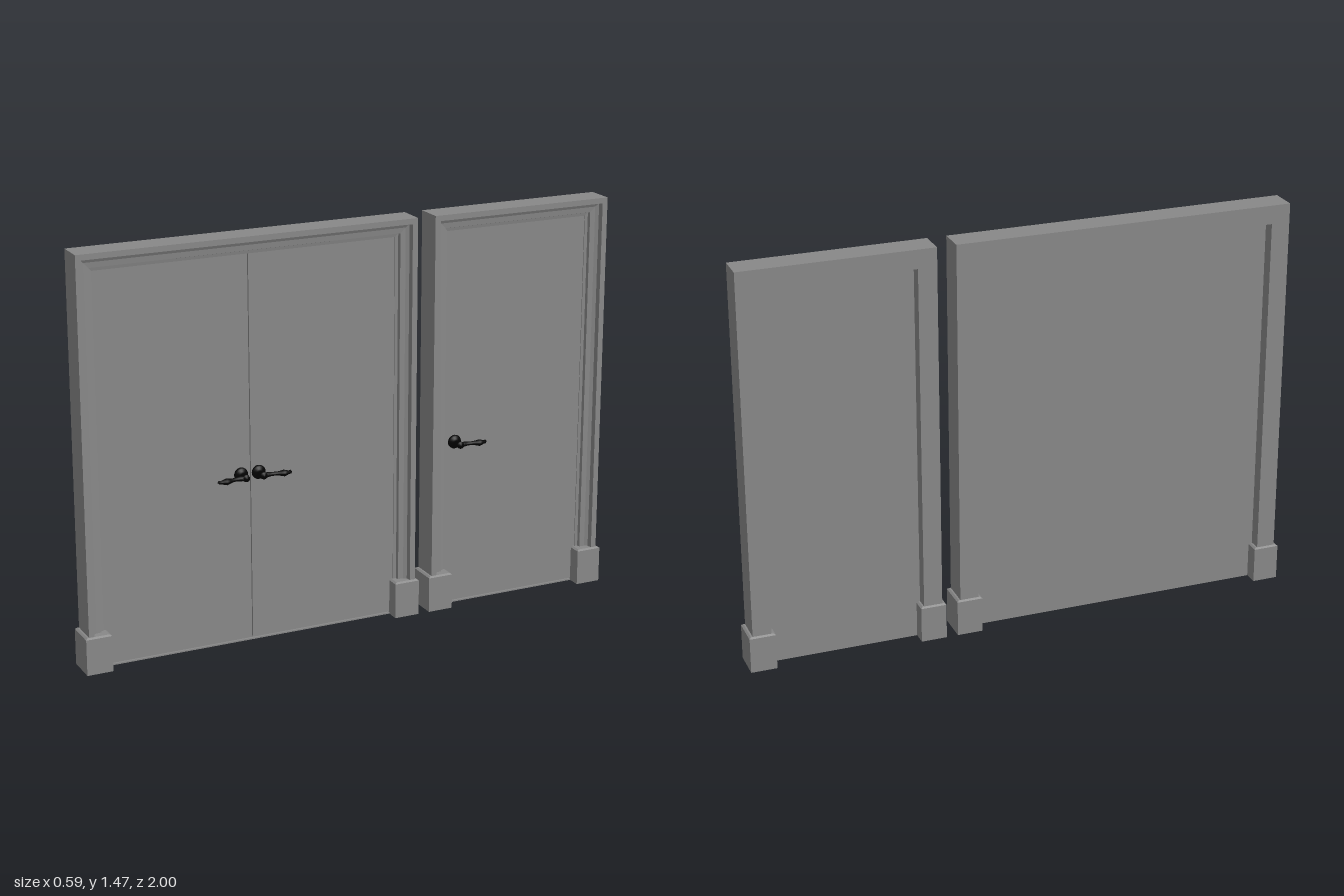
import * as THREE from 'three';

const grey = new THREE.MeshStandardMaterial({ color: 0x888888, flatShading: true });
const black = new THREE.MeshStandardMaterial({ color: 0x030303 });

const HEIGHT = 1.465, HALF_DEPTH = 0.051, CASING = 0.068;
const SIDE_LEDGE = 0.013, FACE_LEDGE = 0.007; // how far plinths stand out from the casing

function add(parent, name, geometry, material, x = 0, y = 0, z = 0) {
  const mesh = new THREE.Mesh(geometry, material);
  mesh.name = name;
  mesh.position.set(x, y, z);
  parent.add(mesh);
}

// Mitred casing: a closed section [inset from outer edge, depth] swept up, across and down
function casingGeometry(halfWidth) {
  const d = HALF_DEPTH;
  const section = [
    [0, -d], [0, d], [0.02, d], [0.023, 0.032], [0.035, 0.026], [0.054, 0.024],
    [0.057, 0.013], [CASING, 0.011], [CASING, 0], [CASING, -d],
  ];
  const rings = [[-1, 0], [-1, 1], [1, 1], [1, 0]].map(([side, top]) =>
    section.map(([v, z]) => [side * (halfWidth - v), top * (HEIGHT - v), z]));
  const positions = [];
  for (let i = 0; i < 3; i++) {
    for (let j = 0; j < section.length; j++) {
      const k = (j + 1) % section.length;
      const a = rings[i][j], b = rings[i][k], c = rings[i + 1][j], e = rings[i + 1][k];
      positions.push(...a, ...b, ...c, ...b, ...e, ...c);
    }
  }
  const geometry = new THREE.BufferGeometry();
  geometry.setAttribute('position', new THREE.Float32BufferAttribute(positions, 3));
  geometry.computeVertexNormals();
  return geometry;
}

// Plinth block with a chamfered top
function plinthGeometry() {
  const width = 0.094, depth = 2 * (HALF_DEPTH + FACE_LEDGE), height = 0.135;
  const geometry = new THREE.BoxGeometry(width, height, depth, 1, 2, 1).toNonIndexed();
  geometry.translate(0, height / 2, 0);
  const p = geometry.attributes.position;
  for (let i = 0; i < p.count; i++) {
    const y = p.getY(i);
    if (y > height * 0.9) {
      p.setX(i, p.getX(i) - Math.sign(p.getX(i)) * FACE_LEDGE);
      p.setZ(i, p.getZ(i) - Math.sign(p.getZ(i)) * FACE_LEDGE);
    } else if (y > height * 0.1) p.setY(i, height - 0.005);
  }
  geometry.computeVertexNormals();
  return geometry;
}

const lathe = (points, sides) =>
  new THREE.LatheGeometry(points.map(([r, y]) => new THREE.Vector2(r, y)), sides);

// Lever handle: rosette and stem pointing forward, turned lever running along +x
function createHandle() {
  const handle = new THREE.Group();
  handle.name = 'handle';
  const rosette = lathe([[0.025, 0], [0.025, 0.005], [0.021, 0.01], [0.014, 0.014],
    [0.009, 0.02], [0.009, 0.04], [0.013, 0.046], [0.012, 0.053], [0, 0.057]], 20);
  add(handle, 'rosette', rosette.rotateX(Math.PI / 2), black);

  const lever = lathe([[0, -0.004], [0.009, 0], [0.009, 0.02], [0.007, 0.032], [0.007, 0.05],
    [0.009, 0.062], [0.012, 0.074], [0.009, 0.085], [0.006, 0.092], [0.007, 0.1], [0, 0.107]], 12);
  lever.rotateZ(-Math.PI / 2);
  // Gentle S-bend
  const p = lever.attributes.position;
  for (let i = 0; i < p.count; i++) {
    const t = p.getX(i) / 0.107;
    p.setZ(i, p.getZ(i) - 0.005 * Math.sin(t * Math.PI * 2));
  }
  lever.computeVertexNormals();
  add(handle, 'lever', lever, black, 0, 0, 0.047);
  return handle;
}

// Doorway of given width: splits are the gaps' centres, handles are [x, lever direction]
function createDoorway(name, width, splits, handles) {
  const door = new THREE.Group();
  door.name = name;
  const half = width / 2 - SIDE_LEDGE;
  add(door, 'casing', casingGeometry(half), grey);

  for (const side of [-1, 1]) {
    add(door, 'plinthBlock', plinthGeometry(), grey, side * (width / 2 - 0.047));
  }

  // Back panel closing the opening, with the leaves in front, tucked under the casing
  const edge = half - CASING + 0.006, panelHeight = HEIGHT - CASING + 0.006;
  add(door, 'backPanel', new THREE.BoxGeometry(2 * edge, panelHeight, 0.006), grey, 0, panelHeight / 2, -0.003);
  add(door, 'threshold', new THREE.BoxGeometry(2 * edge, 0.005, 0.012), grey, 0, 0.0025, 0.004);
  const gap = 0.014, leafHeight = panelHeight - 0.008;
  const bounds = [-edge - gap / 2, ...splits, edge + gap / 2];
  for (let i = 0; i + 1 < bounds.length; i++) {
    const leaf = new THREE.BoxGeometry(bounds[i + 1] - bounds[i] - gap, leafHeight, 0.008);
    add(door, 'leaf', leaf, grey, (bounds[i] + bounds[i + 1]) / 2, 0.008 + leafHeight / 2, 0.004);
  }

  for (const [x, direction] of handles) {
    const handle = createHandle();
    handle.position.set(x, 0.62, 0.008);
    handle.scale.x = direction;
    door.add(handle);
  }
  return door;
}

export function createModel() {
  const model = new THREE.Group();
  model.name = 'doors';

  const doubleDoor = createDoorway('doubleDoor', 1.266, [-0.005], [[-0.036, -1], [0.03, 1]]);
  doubleDoor.position.x = -0.38;
  const singleDoor = createDoorway('singleDoor', 0.718, [], [[-0.238, 1]]);
  singleDoor.position.x = 0.654;

  // Both doorways stand in one line, turned to face mostly +x
  model.add(doubleDoor, singleDoor);
  model.rotation.y = THREE.MathUtils.degToRad(76.5);
  return model;
}
